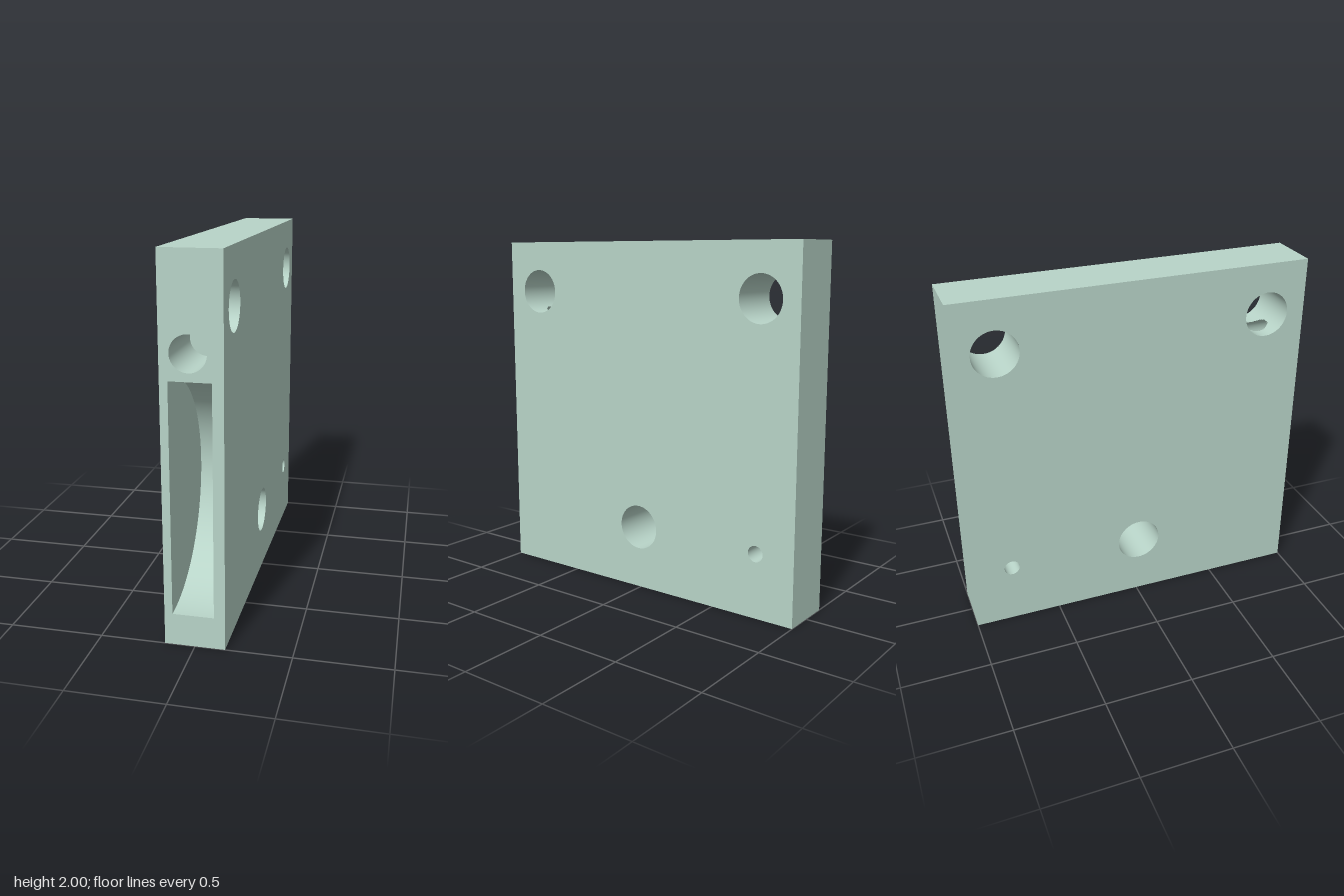
import * as THREE from 'three';

const W = 0.157;                                   // half thickness (x)
const SLOT = { x0: -0.115, x1: 0.1, y: 0.775, r: 0.605 };
const BORE = { x: -0.015, y: 1.515, r: 0.092, end: 0.62 };
const HOLES = [                                    // cross holes: z, y, radius
  { name: 'frontUpperHole', z: 0.77, y: 1.707, r: 0.128 },
  { name: 'backUpperHole', z: -0.77, y: 1.707, r: 0.128 },
  { name: 'lowerHole', z: 0.015, y: 0.362, r: 0.128 },
  { name: 'smallHole', z: -0.77, y: 0.362, r: 0.045 },
];

function rectShape(x0, y0, x1, y1, Type = THREE.Shape) {
  return new Type([[x0, y0], [x1, y0], [x1, y1], [x0, y1]].map(p => new THREE.Vector2(...p)));
}

function circlePath(x, y, r) {
  return new THREE.Path().absarc(x, y, r, 0, Math.PI * 2, true);
}

// Turns a surface inside out, keeping only the triangles whose centre passes the test
function inward(geometry, keep = () => true) {
  const p = geometry.attributes.position, n = geometry.attributes.normal, idx = geometry.index.array;
  const index = [];
  const mid = new THREE.Vector3(), v = new THREE.Vector3();
  for (let i = 0; i < idx.length; i += 3) {
    mid.set(0, 0, 0);
    for (let k = 0; k < 3; k++) mid.add(v.fromBufferAttribute(p, idx[i + k]));
    if (keep(mid.divideScalar(3))) index.push(idx[i], idx[i + 2], idx[i + 1]);
  }
  for (let i = 0; i < n.count; i++) n.setXYZ(i, -n.getX(i), -n.getY(i), -n.getZ(i));
  geometry.setIndex(index);
  return geometry;
}

export function createModel() {
  const group = new THREE.Group();
  const material = new THREE.MeshStandardMaterial({ color: 0xb8d4c8 });
  const add = (name, geometry) => {
    const mesh = new THREE.Mesh(geometry, material);
    mesh.name = name;
    group.add(mesh);
  };

  // Large side faces with the cross holes, and the flat walls of the slot
  for (const s of [1, -1]) {
    const side = rectShape(-1, 0, 1, 2);
    for (const h of HOLES) side.holes.push(circlePath(-s * h.z, h.y, h.r));
    add(s > 0 ? 'leftFace' : 'rightFace',
      new THREE.ShapeGeometry(side, 32).rotateY(s * Math.PI / 2).translate(s * W, 0, 0));

    const start = s > 0 ? -Math.PI / 2 : Math.PI / 2;
    const half = new THREE.Shape().absarc(-s, SLOT.y, SLOT.r, start, start + Math.PI, false);
    add(s > 0 ? 'slotRightWall' : 'slotLeftWall',
      new THREE.ShapeGeometry(half, 48).rotateY(s * Math.PI / 2)
        .translate(s > 0 ? SLOT.x0 : SLOT.x1, 0, 0));
  }

  // Front face with openings for the slot and the bore
  const front = rectShape(-W, 0, W, 2);
  front.holes.push(rectShape(SLOT.x0, SLOT.y - SLOT.r, SLOT.x1, SLOT.y + SLOT.r, THREE.Path));
  front.holes.push(circlePath(BORE.x, BORE.y, BORE.r));
  add('frontFace', new THREE.ShapeGeometry(front, 32).translate(0, 0, 1));

  // Plain outer faces
  add('backFace', new THREE.PlaneGeometry(2 * W, 2).rotateY(Math.PI).translate(0, 1, -1));
  add('topFace', new THREE.PlaneGeometry(2 * W, 2).rotateX(-Math.PI / 2).translate(0, 2, 0));
  add('bottomFace', new THREE.PlaneGeometry(2 * W, 2).rotateX(Math.PI / 2));

  // Curved floor of the slot
  add('slotFloor', inward(
    new THREE.CylinderGeometry(SLOT.r, SLOT.r, SLOT.x1 - SLOT.x0, 64, 1, true, Math.PI / 2, Math.PI)
      .rotateZ(Math.PI / 2).translate((SLOT.x0 + SLOT.x1) / 2, SLOT.y, 1)));

  // Cross hole walls, opened where the bore grazes them
  const inBore = p => p.z > BORE.end && Math.hypot(p.x - BORE.x, p.y - BORE.y) < BORE.r;
  for (const h of HOLES) {
    add(h.name, inward(
      new THREE.CylinderGeometry(h.r, h.r, 2 * W, 96, 48, true)
        .rotateZ(Math.PI / 2).translate(0, h.y, h.z), p => !inBore(p)));
  }

  // Blind bore running in from the front
  const depth = 1 - BORE.end, upper = HOLES[0];
  add('boreWall', inward(
    new THREE.CylinderGeometry(BORE.r, BORE.r, depth, 96, 48, true)
      .rotateX(Math.PI / 2).translate(BORE.x, BORE.y, 1 - depth / 2),
    p => Math.hypot(p.z - upper.z, p.y - upper.y) > upper.r));
  add('boreFloor', new THREE.CircleGeometry(BORE.r, 96).translate(BORE.x, BORE.y, BORE.end));

  return group;
}
